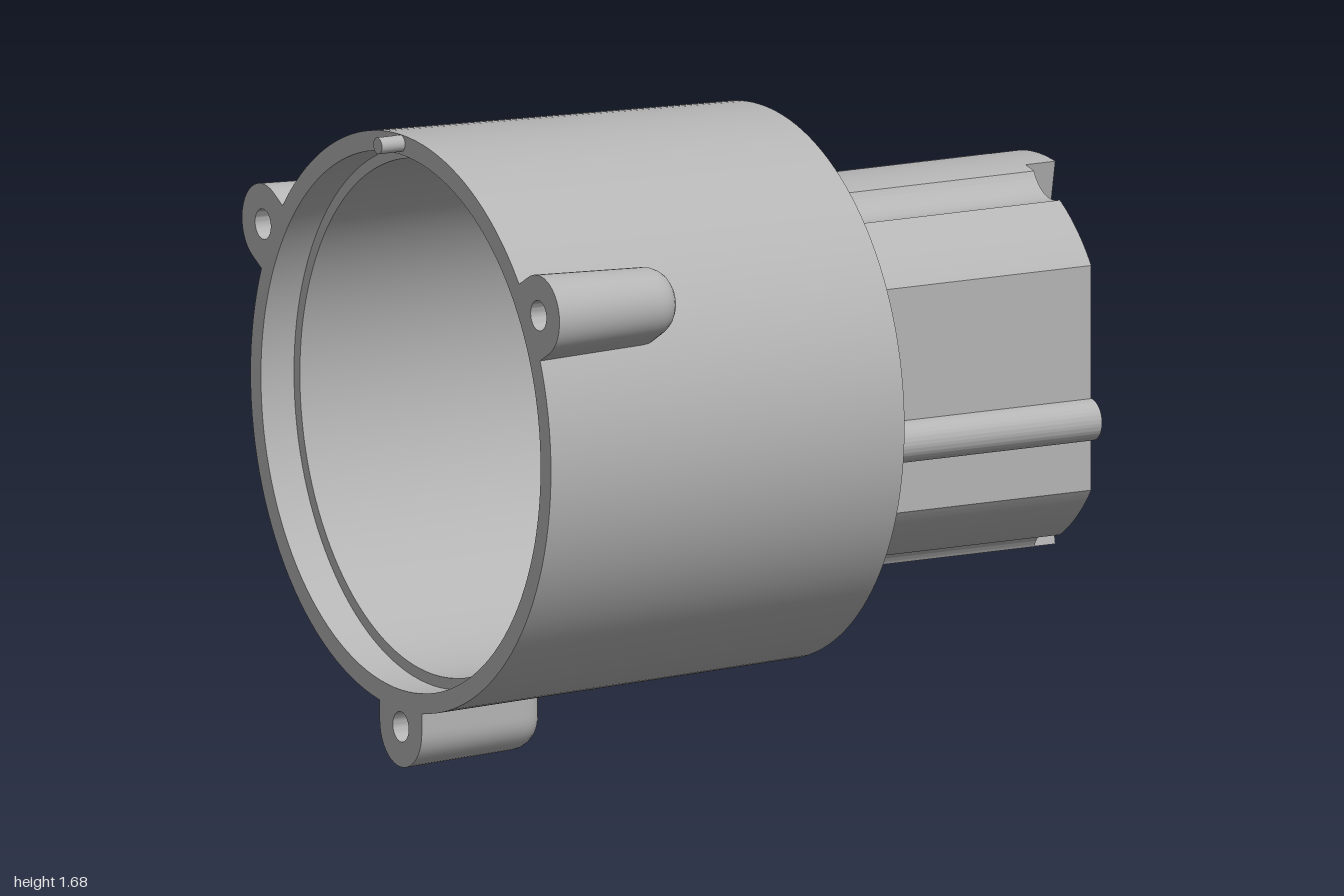
import * as THREE from 'three';
import { toCreasedNormals } from 'three/addons/utils/BufferGeometryUtils.js';

const AXIS_Y = 0.915;
const rad = THREE.MathUtils.degToRad;

// Extrude a cross-section along +x between two stations
function extrudeX(shape, x0, x1) {
  const g = new THREE.ExtrudeGeometry(shape, { depth: x1 - x0, bevelEnabled: false, curveSegments: 32 });
  g.rotateY(Math.PI / 2);
  g.translate(x0, 0, 0);
  return toCreasedNormals(g, 0.5);
}

// Revolve [radius, x] points around the x axis
function latheX(points, segments) {
  const g = new THREE.LatheGeometry(points.map(([r, x]) => new THREE.Vector2(r, x)), segments);
  g.rotateZ(-Math.PI / 2);
  return g;
}

function addHole(shape, x, y, r) {
  shape.holes.push(new THREE.Path().absarc(x, y, r, 0, Math.PI * 2, true));
  return shape;
}

// Round neck outline with side flats, four scallops and one side rib
function neckShape(bore) {
  const R = 0.515, D = 0.59, r = 0.107;
  const flat = Math.acos(0.42 / R);
  const half = Math.acos((D * D + R * R - r * r) / (2 * D * R));
  const s = new THREE.Shape();
  for (const turn of [0, Math.PI]) {
    let from = turn + flat;
    for (const deg of [67.5, 112.5]) {
      const a = turn + rad(deg);
      s.absarc(0, 0, R, from, a - half, false);
      const cx = D * Math.cos(a), cy = D * Math.sin(a);
      const angleTo = (t) => Math.atan2(R * Math.sin(t) - cy, R * Math.cos(t) - cx);
      s.absarc(cx, cy, r, angleTo(a - half), angleTo(a + half), true);
      from = a + half;
    }
    s.absarc(0, 0, R, from, turn + Math.PI - flat, false);
    if (turn === 0) s.absarc(-0.42, -0.11, 0.055, Math.PI / 2, Math.PI * 1.5, false);
  }
  s.closePath();
  return addHole(s, 0, 0, bore);
}

// Screw lug: revolved body with rounded end, squared off where it meets the housing
function lugGeometry() {
  const pts = [[0, -0.7], [0.04, -0.7], [0.04, -0.93], [0.107, -0.93], [0.094, -0.61]];
  for (let i = 1; i <= 6; i++) {
    const a = (i / 6) * Math.PI / 2;
    pts.push([0.024 + 0.07 * Math.cos(a), -0.61 + 0.07 * Math.sin(a)]);
  }
  pts.push([0, -0.54]);
  const g = latheX(pts, 40);
  const p = g.attributes.position;
  for (let i = 0; i < p.count; i++) {
    const y = p.getY(i), z = p.getZ(i), r = Math.hypot(y, z);
    if (y > 1e-4 && r > 0.05) {
      const s = r / Math.max(y, Math.abs(z));
      p.setY(i, y * s * 0.8);
      p.setZ(i, z * s);
    }
  }
  g.translate(0, -0.808, 0);
  return toCreasedNormals(g, 0.6);
}

export function createModel() {
  const model = new THREE.Group();
  model.name = 'flangedHousing';
  const grey = new THREE.MeshStandardMaterial({ color: 0xb4b4b4 });
  grey.name = 'plain grey';

  const body = new THREE.Group();
  body.name = 'body';
  body.position.y = AXIS_Y;
  model.add(body);
  const add = (name, geometry) => {
    const m = new THREE.Mesh(geometry, grey);
    m.name = name;
    body.add(m);
    return m;
  };

  // Tapered cup wall with a stepped rim
  add('housingWall', toCreasedNormals(latheX([
    [0.68, 0.06], [0.68, -0.83], [0.71, -0.83], [0.71, -0.93], [0.763, -0.93], [0.73, 0.16],
  ], 128), 0.5));

  // End flange with eight bolt holes and the central bore
  const flange = new THREE.Shape().absarc(0, 0, 0.73, 0, Math.PI * 2, false);
  addHole(flange, 0, 0, 0.215);
  for (let i = 0; i < 8; i++) {
    const a = rad(22.5 + 45 * i);
    addHole(flange, 0.59 * Math.cos(a), 0.59 * Math.sin(a), 0.071);
  }
  add('flange', extrudeX(flange, 0.04, 0.16));

  // Neck: narrow bore, then a wide counterbore at the free end
  add('neck', extrudeX(neckShape(0.215), 0.16, 0.77));
  add('neckCounterbore', extrudeX(neckShape(0.34), 0.77, 0.91));

  // Wedge-shaped end tabs with screw holes
  const tab = new THREE.Shape();
  tab.absarc(0, 0, 0.515, rad(80.3), rad(99.7), false);
  tab.absarc(0, 0, 0.34, rad(99), rad(81), true);
  tab.closePath();
  addHole(tab, 0, 0.43, 0.035);
  const tabGeometry = extrudeX(tab, 0.91, 1);
  add('topTab', tabGeometry);
  add('bottomTab', tabGeometry).rotation.x = Math.PI;

  // Three screw lugs around the rim
  const lug = lugGeometry();
  for (let i = 0; i < 3; i++) add('screwLug' + (i + 1), lug).rotation.x = i * Math.PI * 2 / 3;

  // Locating pin on the rim
  const pin = new THREE.CylinderGeometry(0.022, 0.022, 0.08, 20);
  pin.rotateZ(Math.PI / 2);
  pin.translate(-0.96, 0.74, 0);
  add('locatingPin', pin);

  return model;
}
